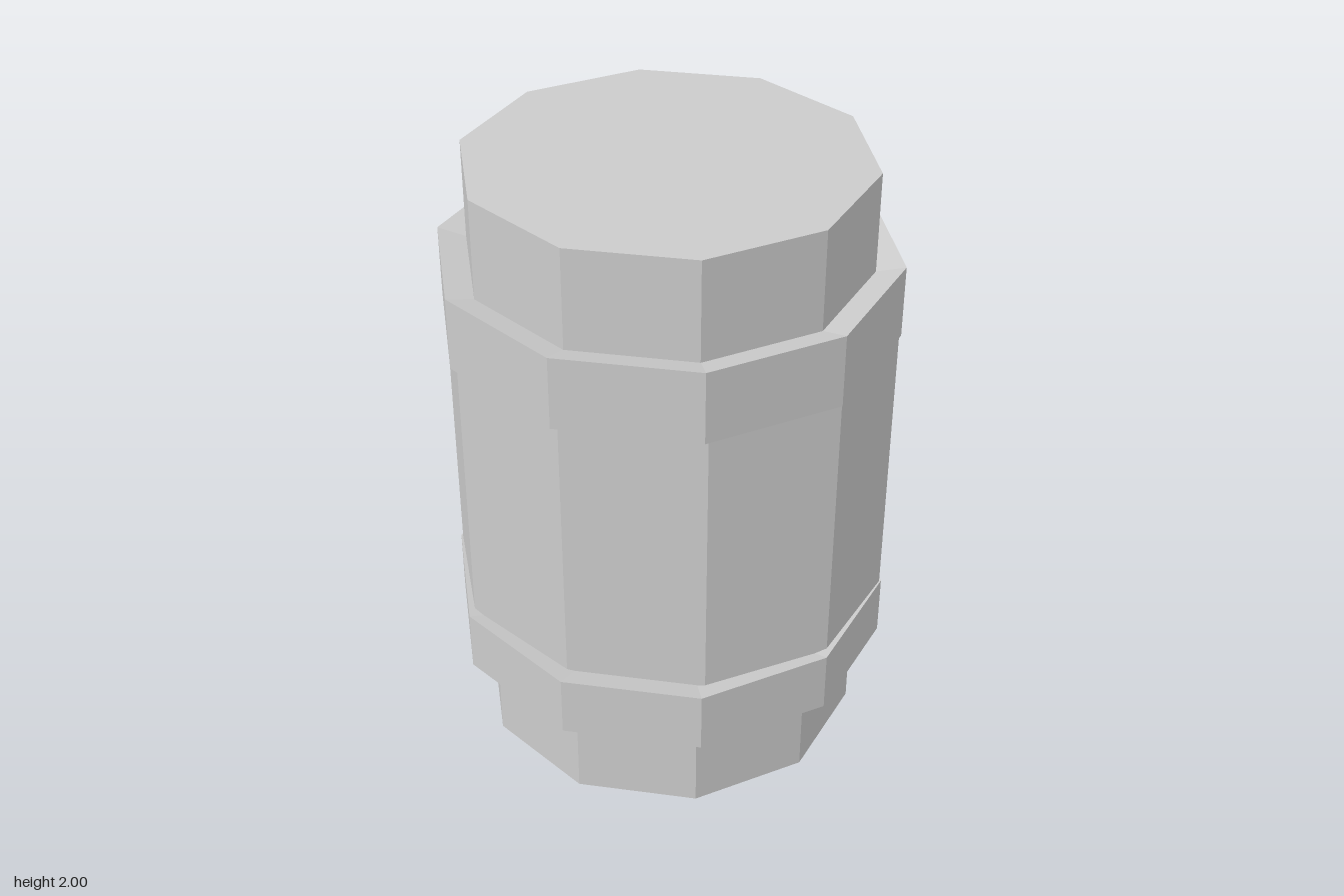
import * as THREE from 'three';

const SIDES = 10;
const START = Math.PI / SIDES; // puts a corner on the x axis

export function createModel() {
  const group = new THREE.Group();
  const material = new THREE.MeshStandardMaterial({ color: 0xcccccc, flatShading: true });

  const add = (name, geometry, depthScale) => {
    geometry.scale(1, 1, depthScale);
    const mesh = new THREE.Mesh(geometry, material);
    mesh.name = name;
    group.add(mesh);
  };

  // Ten-sided drum between two heights
  const drum = (name, radius, y0, y1, depthScale) => {
    const geometry = new THREE.CylinderGeometry(radius, radius, y1 - y0, SIDES, 1, false, START);
    geometry.translate(0, (y0 + y1) / 2, 0);
    add(name, geometry, depthScale);
  };

  // Band with a flat underside and a top that dips slightly inward
  const band = (name, y0, y1) => {
    const profile = [[0.5, y0], [0.712, y0], [0.712, y1], [0.61, y1 - 0.025], [0.5, y1 - 0.05]]
      .map(([r, y]) => new THREE.Vector2(r, y));
    add(name, new THREE.LatheGeometry(profile, SIDES, START), 0.977);
  };

  // End caps, running a little way inside the bands
  drum('bottomCap', 0.623, 0, 0.4, 0.98);
  drum('topCap', 0.623, 1.6, 2, 0.98);

  // Main body, flattened front to back
  drum('body', 0.706, 0.42, 1.52, 0.866);

  band('lowerBand', 0.31, 0.515);
  band('upperBand', 1.465, 1.7);

  return group;
}
